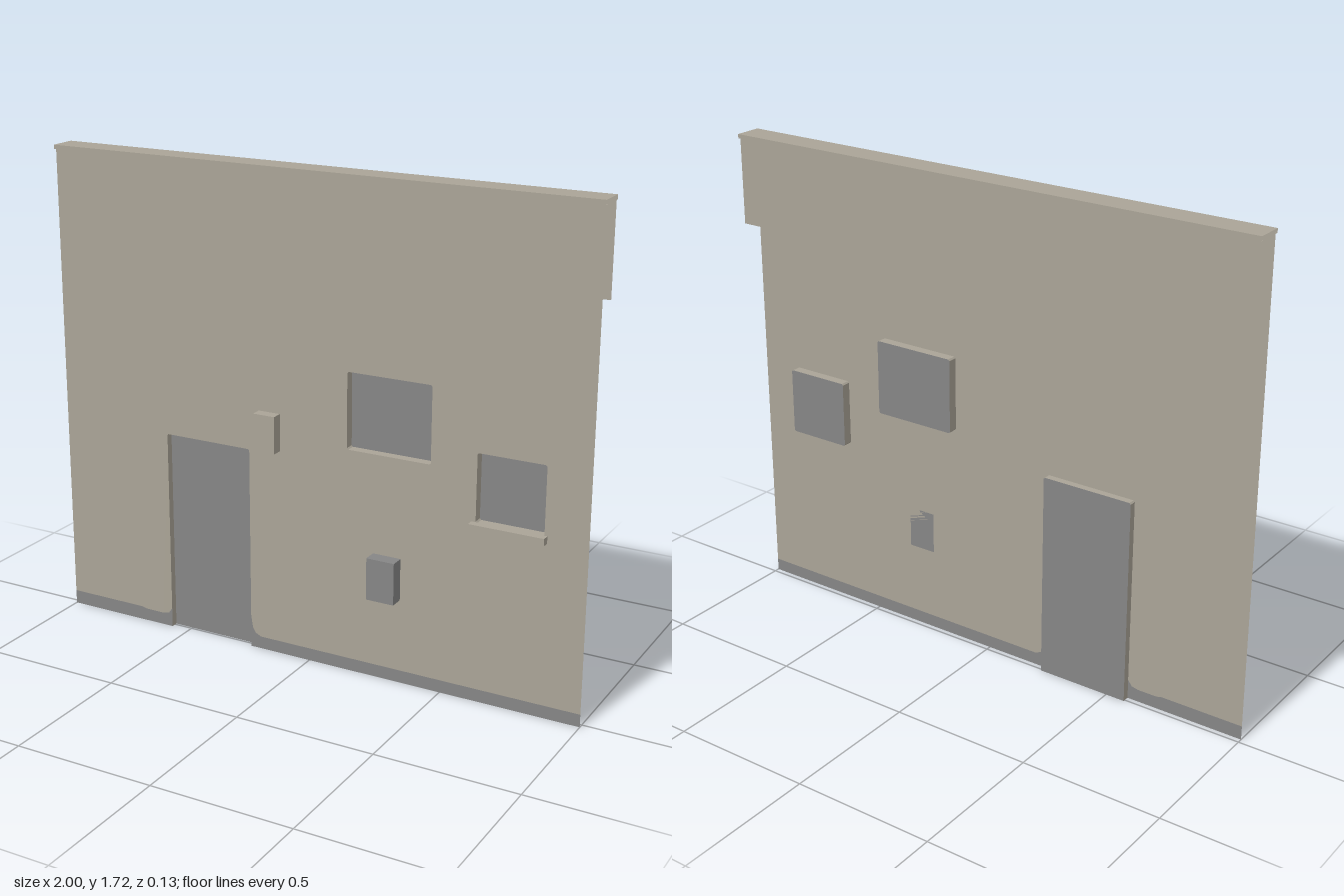
import * as THREE from 'three';

const WALL_Z = 0.018, CAP_FRONT = 0.03, CAP_BACK = -0.067, PANEL_Z = -0.057;
const CAP_LOW = 1.705, CAP_TOP = 1.72;

export function createModel() {
  const plaster = new THREE.MeshStandardMaterial({ color: 0xaaa497, side: THREE.DoubleSide });
  plaster.name = 'plaster';
  const grey = new THREE.MeshStandardMaterial({ color: 0x868686, side: THREE.DoubleSide });
  grey.name = 'grey';

  const group = new THREE.Group();
  group.name = 'houseFacade';
  const add = (name, geometry, material, z = 0) => {
    const mesh = new THREE.Mesh(geometry, material);
    mesh.name = name;
    mesh.position.z = z;
    group.add(mesh);
  };
  const shapeOf = (pts) => new THREE.Shape(pts.map(([x, y]) => new THREE.Vector2(x, y)));

  // Opening outline with slightly clipped corners, starting at the lower left
  const opening = (x0, x1, y0, y1, low = true, c = 0.005) => [
    ...(low ? [[x0 + c, y0], [x0, y0 + c]] : [[x0, y0]]),
    [x0, y1 - c], [x0 + c, y1], [x1 - c, y1], [x1, y1 - c],
    ...(low ? [[x1, y0 + c], [x1 - c, y0]] : [[x1, y0]]),
  ];

  // Flat strips joining an outline at two depths
  const reveal = (pts, zBack, closed) => {
    const pos = [];
    const n = closed ? pts.length : pts.length - 1;
    for (let i = 0; i < n; i++) {
      const [ax, ay] = pts[i], [bx, by] = pts[(i + 1) % pts.length];
      pos.push(ax, ay, WALL_Z, ax, ay, zBack, bx, by, zBack);
      pos.push(ax, ay, WALL_Z, bx, by, zBack, bx, by, WALL_Z);
    }
    const g = new THREE.BufferGeometry();
    g.setAttribute('position', new THREE.Float32BufferAttribute(pos, 3));
    g.computeVertexNormals();
    return g;
  };

  const door = opening(-0.57, -0.235, 0, 0.738, false);
  const windows = {
    largeWindow: opening(0.143, 0.45, 0.802, 1.07),
    smallWindow: opening(0.613, 0.85, 0.632, 0.87),
  };

  // Plinth top line, sweeping up beside the door
  const leftLine = [[-1, 0.05], [-0.7, 0.05], [-0.68, 0.045], [-0.61, 0.045], [-0.585, 0.05], [-0.57, 0.07]];
  const rightLine = [[-0.235, 0.12], [-0.228, 0.075], [-0.217, 0.055], [-0.195, 0.045], [1, 0.045]];

  // Wall sheet with window holes and door gap
  const wall = shapeOf([...leftLine, ...door.slice(1, -1), ...rightLine, [1, CAP_LOW + 0.005], [-1, CAP_LOW + 0.005]]);
  for (const pts of Object.values(windows)) wall.holes.push(new THREE.Path(shapeOf(pts).getPoints()));
  add('wall', new THREE.ShapeGeometry(wall), plaster, WALL_Z);
  add('plinthLeft', new THREE.ShapeGeometry(shapeOf([[-1, 0], [-0.57, 0], ...[...leftLine].reverse()])), grey, WALL_Z);
  add('plinthRight', new THREE.ShapeGeometry(shapeOf([[-0.235, 0], [1, 0], ...[...rightLine].reverse()])), grey, WALL_Z);

  // Recessed door and windows
  add('door', new THREE.ShapeGeometry(shapeOf(door)), grey, -0.007);
  add('doorReveal', reveal(door, -0.007, false), plaster);
  for (const [name, pts] of Object.entries(windows)) {
    add(name, new THREE.ShapeGeometry(shapeOf(pts)), grey, -0.016);
    add(name + 'Reveal', reveal(pts, -0.016, true), plaster);
  }

  // Blocks standing on the wall face
  const block = (name, x0, x1, y0, y1, zFront, material) => {
    const g = new THREE.BoxGeometry(x1 - x0, y1 - y0, zFront - WALL_Z);
    g.translate((x0 + x1) / 2, (y0 + y1) / 2, (zFront + WALL_Z) / 2);
    add(name, g, material);
  };
  block('wallBox', -0.195, -0.113, 0.752, 0.884, 0.057, plaster);
  block('meterBox', 0.245, 0.347, 0.303, 0.452, 0.067, grey);
  block('windowSill', 0.598, 0.86, 0.61, 0.635, 0.045, plaster);

  // Parapet back sheet
  const panel = new THREE.PlaneGeometry(2, 0.31);
  panel.rotateY(Math.PI);
  panel.translate(0, CAP_LOW - 0.15, PANEL_Z);
  add('parapetBack', panel, plaster);

  // Hollow coping: folded strip along x, open at both ends
  const profile = [[WALL_Z, CAP_LOW], [CAP_FRONT, CAP_LOW], [CAP_FRONT, CAP_TOP], [CAP_BACK, CAP_TOP], [CAP_BACK, CAP_LOW], [PANEL_Z, CAP_LOW]];
  const pos = [];
  for (let i = 0; i < profile.length - 1; i++) {
    const [az, ay] = profile[i], [bz, by] = profile[i + 1];
    pos.push(-1, ay, az, 1, ay, az, 1, by, bz, -1, ay, az, 1, by, bz, -1, by, bz);
  }
  const coping = new THREE.BufferGeometry();
  coping.setAttribute('position', new THREE.Float32BufferAttribute(pos, 3));
  coping.computeVertexNormals();
  add('coping', coping, plaster);

  return group;
}
